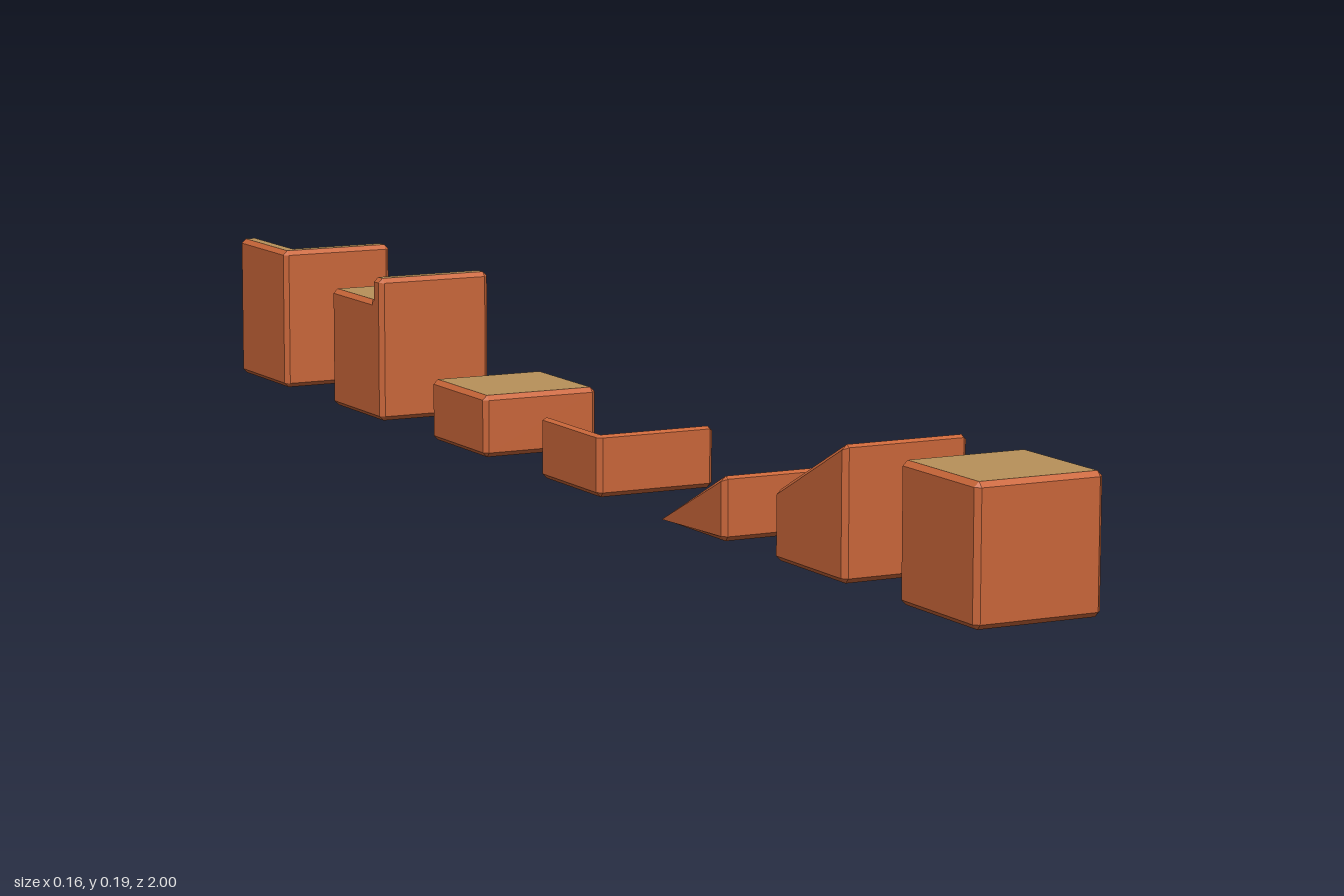
import * as THREE from 'three';

const S = 0.08;      // half width of a tile
const B = 0.006;     // bevel
const T = 0.026;     // wall thickness
const FLOOR = 0.16;  // height of a full block
const WALL = 0.192;  // height of a walled block

const earth = new THREE.MeshStandardMaterial({ color: 0xcb673a, flatShading: true });
const sand = new THREE.MeshStandardMaterial({ color: 0xb8915a, flatShading: true });

// Mesh from a list of triangles, leaving out collapsed ones
function triangleMesh(name, triangles, material) {
  const points = triangles.filter((t) => new THREE.Triangle(...t).getArea() > 1e-9).flat();
  const geometry = new THREE.BufferGeometry().setFromPoints(points);
  geometry.computeVertexNormals();
  const mesh = new THREE.Mesh(geometry, material);
  mesh.name = name;
  return mesh;
}

const fan = (ring) => ring.slice(2).map((p, i) => [ring[0], ring[i + 1], p]);

// Bevelled prism over a right-angled outline of [x, z] corners (anticlockwise from above).
// height(x, z) gives the top; base is its lower end, bevelled only when it stands on the ground.
function bevelledPrism(name, outline, height, base = 0, hasCap = true) {
  const n = outline.length;
  const full = [], inset = [];
  outline.forEach(([x, z], i) => {
    const before = outline[(i + n - 1) % n], after = outline[(i + 1) % n];
    const a = new THREE.Vector2(x - before[0], z - before[1]).normalize();
    const c = new THREE.Vector2(after[0] - x, after[1] - z).normalize();
    const cut = a.cross(c) < 0 ? B : 0; // only outer corners are chamfered
    full.push([x - a.x * cut, z - a.y * cut], [x + c.x * cut, z + c.y * cut]);
    const inner = [x + B * (a.y + c.y), z - B * (a.x + c.x)];
    inset.push(inner, inner);
  });
  const ring = (points, y) => points.map(([x, z]) => new THREE.Vector3(x, y(x, z), z));
  const low = (x, z) => (base > 0 ? base : Math.min(B, height(x, z) / 2));
  const high = (x, z) => Math.max(height(x, z) - B, height(x, z) / 2);
  const rings = [ring(full, low), ring(full, high), ring(inset, height)];
  if (base === 0) rings.unshift(ring(inset, () => 0));

  const sides = [];
  for (let r = 0; r + 1 < rings.length; r++) {
    const p = rings[r], q = rings[r + 1];
    for (let i = 0; i < p.length; i++) {
      const j = (i + 1) % p.length;
      sides.push([p[i], p[j], q[j]], [p[i], q[j], q[i]]);
    }
  }
  const corners = (points) => points.filter((_, i) => i % 2 === 0);
  if (base === 0) sides.push(...fan(corners(rings[0])).map(([a, b, c]) => [a, c, b]));

  const group = new THREE.Group();
  group.name = name;
  group.add(triangleMesh(name + 'Sides', sides, earth));
  if (hasCap) group.add(triangleMesh(name + 'Top', fan(corners(rings[rings.length - 1])), sand));
  return group;
}

const square = [[-S, S], [S, S], [S, -S], [-S, -S]];
const straightWall = (t) => [[-S, S], [S, S], [S, S - t], [-S, S - t]];
const cornerWall = (t) =>
  [[t - S, S - t], [t - S, -S], [-S, -S], [-S, S], [S, S], [S, S - t]];

// Full block with a raised wall and a small sloped foot where it meets the floor
function walledBlock(name, wallOutline) {
  const group = new THREE.Group();
  group.name = name;
  group.add(
    bevelledPrism('block', square, () => FLOOR),
    bevelledPrism('wall', wallOutline(T), () => WALL, FLOOR - B),
    bevelledPrism('wallFoot', wallOutline(T + B), () => FLOOR + B, FLOOR - B, false)
  );
  return group;
}

export function createModel() {
  const model = new THREE.Group();
  model.name = 'terrainTiles';
  const slope = (t) => 0.04 + t / 2;

  // Tiles in a row from front to back
  const tiles = [
    [0.92, bevelledPrism('fullBlock', square, () => FLOOR)],
    [0.64, bevelledPrism('upperRamp', square, (x, z) => 0.08 + slope(z))],
    [0.36, bevelledPrism('lowerRamp', square, (x, z) => slope(z))],
    [0.04, bevelledPrism('innerCornerRamp', square, (x, z) => Math.max(slope(z), slope(-x)))],
    [-0.28, bevelledPrism('halfBlock', square, () => 0.08)],
    [-0.6, walledBlock('walledBlock', straightWall)],
    [-0.92, walledBlock('cornerWalledBlock', cornerWall)],
  ];
  for (const [z, tile] of tiles) {
    tile.position.z = z;
    model.add(tile);
  }
  return model;
}
